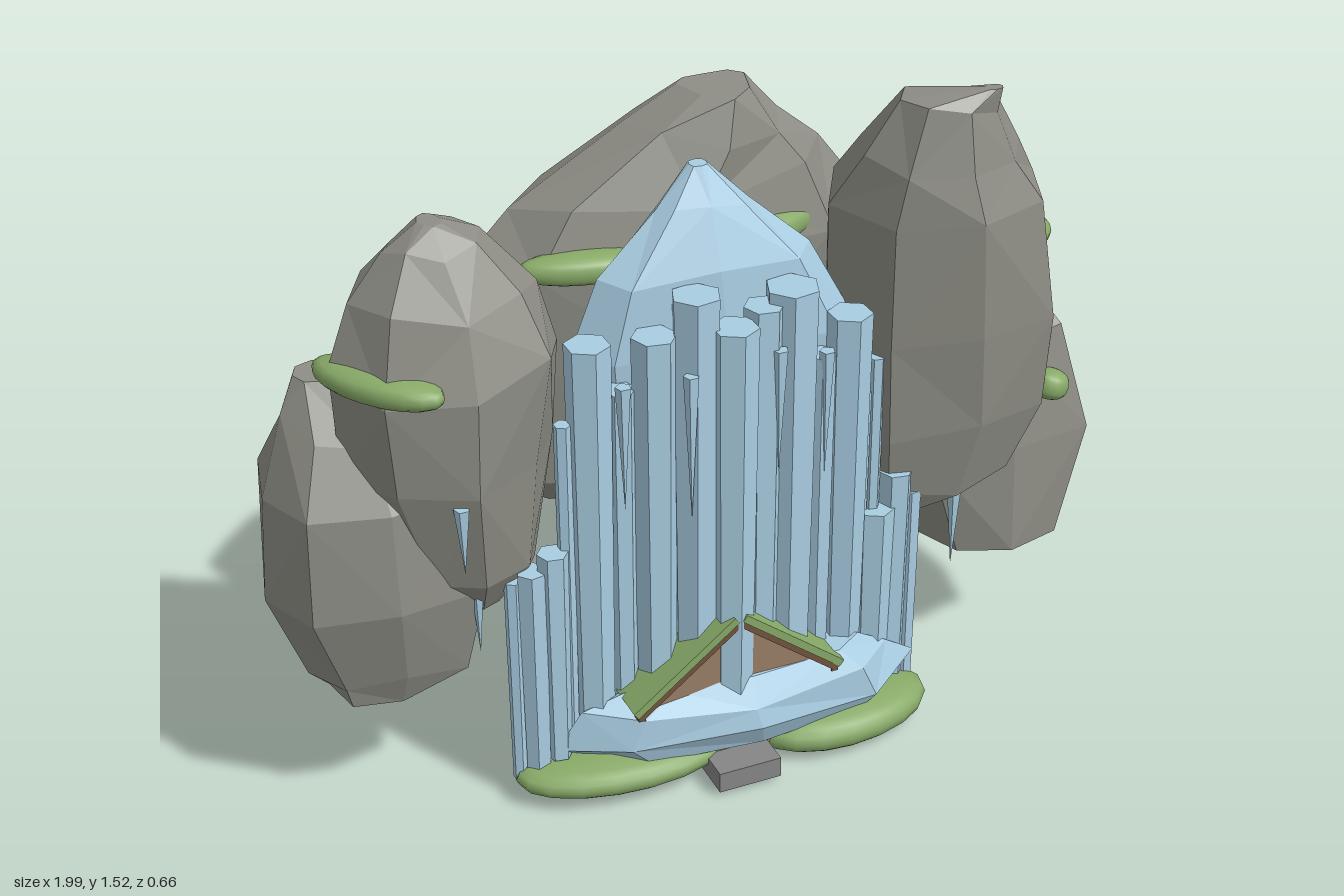
import * as THREE from 'three';

const mat = (name, color) => {
  const m = new THREE.MeshStandardMaterial({ color });
  m.name = name;
  return m;
};

export function createModel() {
  const group = new THREE.Group();
  const rock = mat('rock grey', 0x8e8e86), ice = mat('pale ice blue', 0xa9cde2);
  const moss = mat('moss green', 0x88aa68), wood = mat('wall wood', 0x997e65);
  const dark = mat('dark timber', 0x70543e), stone = mat('base stone', 0x868686);

  let seed = 7;
  const rand = () => (seed = (seed * 16807) % 2147483647) / 2147483647;

  const add = (name, geo, material, pos = [0, 0, 0], rot = [0, 0, 0], parent = group) => {
    const m = new THREE.Mesh(geo, material);
    m.name = name;
    m.position.set(...pos);
    m.rotation.set(...rot);
    parent.add(m);
    return m;
  };
  const faceted = (g) => {
    const f = g.index ? g.toNonIndexed() : g;
    f.computeVertexNormals();
    return f;
  };
  // Box given by its limits on each axis
  const box = (name, material, x0, x1, y0, y1, z0, z1, parent) =>
    add(name, new THREE.BoxGeometry(x1 - x0, y1 - y0, z1 - z0), material,
      [(x0 + x1) / 2, (y0 + y1) / 2, (z0 + z1) / 2], [0, 0, 0], parent);

  // Faceted boulder lofted through rings of [y, xMin, xMax, zMin, zMax];
  // corner sets how square a ring is, lean moves its left and right ends in z
  const boulder = (name, material, rings, { jitter = 0.1, corner = 1.07, lean = 0 } = {}) => {
    const p = [], idx = [], n = 8;
    rings.forEach(([y, x0, x1, z0, z1], i) => {
      for (let j = 0; j < n; j++) {
        const t = (j / n) * Math.PI * 2, r = j % 2 ? corner - rand() * jitter * 2 : 1 - rand() * jitter * 0.2;
        const dy = i > 0 && i < rings.length - 1 ? (rand() - 0.5) * jitter * 0.5 : 0;
        p.push((x0 + x1) / 2 + Math.cos(t) * r * (x1 - x0) / 2, y + dy,
          (z0 + z1) / 2 + Math.sin(t) * r * (z1 - z0) / 2 + lean * Math.cos(t) ** 2);
      }
    });
    for (let i = 0; i < rings.length - 1; i++)
      for (let j = 0; j < n; j++) {
        const a = i * n + j, b = i * n + (j + 1) % n, c = a + n, d = b + n;
        if ((i + j) % 2) idx.push(a, c, b, b, c, d);
        else idx.push(a, c, d, a, d, b);
      }
    const top = (rings.length - 1) * n;
    for (let j = 1; j < n - 1; j++) idx.push(0, j, j + 1, top, top + j + 1, top + j);
    const g = new THREE.BufferGeometry();
    g.setAttribute('position', new THREE.Float32BufferAttribute(p, 3));
    g.setIndex(idx);
    return add(name, faceted(g), material);
  };

  // Cliff boulders
  boulder('leftTallBoulder', rock, [
    [0.5, 0.38, 0.52, 0.06, 0.14], [0.56, 0.32, 0.77, -0.06, 0.19], [0.72, 0.29, 0.86, -0.16, 0.23],
    [0.97, 0.28, 0.83, -0.2, 0.25], [1.25, 0.28, 0.79, -0.22, 0.26], [1.36, 0.33, 0.71, -0.06, 0.23],
    [1.48, 0.4, 0.64, 0.01, 0.2], [1.52, 0.57, 0.61, 0.15, 0.18]]);
  boulder('leftOuterBoulder', rock, [
    [0.3, 0.58, 0.92, -0.25, 0.11], [0.55, 0.49, 1.0, -0.28, 0.1], [0.82, 0.53, 0.92, -0.3, 0.07],
    [0.94, 0.58, 0.86, -0.3, -0.03], [1.01, 0.66, 0.78, -0.24, -0.14]], { corner: 1.18 });
  boulder('backBoulder', rock, [
    [0.54, -0.36, 0.1, -0.28, -0.14], [0.61, -0.44, 0.38, -0.31, -0.08], [0.9, -0.52, 0.5, -0.33, -0.02],
    [1.15, -0.48, 0.48, -0.32, -0.01], [1.28, -0.36, 0.38, -0.3, -0.03], [1.4, -0.1, 0.27, -0.27, -0.05],
    [1.48, 0.03, 0.19, -0.24, -0.08]], { lean: -0.05 });
  boulder('rightTallBoulder', rock, [
    [0.5, -0.63, -0.5, 0.02, 0.12], [0.58, -0.73, -0.42, -0.08, 0.18], [0.85, -0.83, -0.36, -0.17, 0.23],
    [1.08, -0.84, -0.34, -0.18, 0.23], [1.23, -0.79, -0.38, -0.14, 0.18], [1.34, -0.71, -0.5, -0.08, 0.11],
    [1.38, -0.63, -0.58, -0.02, 0.05]]);
  boulder('rightOuterBoulder', rock, [
    [0.3, -0.88, -0.62, -0.16, 0.1], [0.36, -0.92, -0.57, -0.2, 0.13], [0.55, -1.0, -0.52, -0.25, 0.17],
    [0.8, -0.98, -0.54, -0.26, 0.15], [0.94, -0.92, -0.62, -0.22, 0.07], [1.03, -0.88, -0.77, -0.15, -0.05]],
    { corner: 1.18 });

  // Frozen spring, pool and ice behind the hut
  boulder('springIce', ice, [
    [0.63, -0.22, 0.2, 0, 0.1], [0.75, -0.31, 0.29, -0.03, 0.14], [1.02, -0.34, 0.32, -0.03, 0.16],
    [1.2, -0.27, 0.22, -0.02, 0.15], [1.33, -0.13, 0.08, 0, 0.1], [1.41, -0.05, -0.01, 0.02, 0.06]],
    { jitter: 0.06, corner: 1.15 });
  boulder('poolIce', ice, [
    [0.08, -0.33, 0.38, 0.08, 0.28], [0.13, -0.44, 0.46, 0.04, 0.31], [0.2, -0.38, 0.38, 0.08, 0.3],
    [0.25, -0.28, 0.3, 0.14, 0.26]], { jitter: 0.08 });
  boulder('iceChunk', ice, [
    [0.06, -0.36, -0.25, 0, 0.1], [0.13, -0.4, -0.22, -0.04, 0.12], [0.21, -0.34, -0.27, 0.02, 0.09]]);
  boulder('iceShards', ice, [
    [0.01, -0.18, 0.1, -0.135, -0.09], [0.02, -0.16, 0.09, -0.14, -0.09], [0.05, -0.1, 0.03, -0.118, -0.1]]);

  // Frozen waterfall columns: x, z, top, bottom, radius
  const falls = [
    [-0.33, 0.16, 1.11, 0.14, 0.05], [-0.19, 0.18, 1.11, 0.14, 0.05], [-0.1, 0.19, 1.19, 0.14, 0.055],
    [-0.03, 0.23, 1.12, 0.2, 0.052], [0.05, 0.2, 1.14, 0.14, 0.045], [0.12, 0.19, 1.165, 0.14, 0.06],
    [0.27, 0.165, 1.06, 0.12, 0.05], [-0.26, 0.16, 0.99, 0.1, 0.035], [0.2, 0.17, 0.98, 0.1, 0.035],
    [-0.385, 0.15, 0.93, 0.1, 0.02], [0.345, 0.15, 0.93, 0.1, 0.02], [0.31, 0.14, 0.85, 0.1, 0.03],
    [0.35, 0.16, 0.55, 0.08, 0.045], [-0.42, 0.16, 0.63, 0.1, 0.035], [-0.465, 0.15, 0.59, 0.06, 0.035],
    [-0.505, 0.14, 0.57, 0.05, 0.02], [0.405, 0.15, 0.63, 0.08, 0.04], [0.445, 0.15, 0.57, 0.06, 0.025]];
  falls.forEach(([x, z, top, bottom, r], i) => {
    add('waterfallColumn', faceted(new THREE.CylinderGeometry(r, r * 0.85, top - bottom, 6)), ice,
      [x, (top + bottom) / 2, z], [0, i * 0.35, 0]);
  });
  // Thin hanging icicles
  [[-0.63, 0.82, 0.21, 0.16], [-0.58, 0.6, 0.13, 0.2], [0.565, 0.55, 0.14, 0.22],
    [-0.27, 1.02, 0.205, 0.3], [-0.13, 1.03, 0.235, 0.35], [0.2, 1.0, 0.2, 0.3], [0.07, 1.05, 0.24, 0.3]]
    .forEach(([x, top, z, h]) =>
      add('icicle', faceted(new THREE.ConeGeometry(0.018, h, 5)), ice, [x, top - h / 2, z], [Math.PI, 0, 0]));

  // Moss cushions with blunt rims: centre, half sizes, tilt
  const cushion = (name, pos, size, rot) => {
    const g = new THREE.SphereGeometry(1, 18, 12), p = g.attributes.position;
    for (let i = 0; i < p.count; i++) {
      const y = p.getY(i);
      p.setY(i, Math.sign(y) * Math.abs(y) ** 0.75);
    }
    g.scale(...size);
    g.computeVertexNormals();
    add(name, g, moss, pos, rot);
  };
  cushion('groundMoss', [-0.28, 0.058, 0.18], [0.245, 0.042, 0.11], [0, -0.08, 0]);
  cushion('groundMoss', [0.26, 0.05, 0.2], [0.22, 0.05, 0.12], [0, 0.1, 0]);
  cushion('ledgeMoss', [-0.24, 1.17, -0.06], [0.15, 0.035, 0.05], [0, -0.2, 0]);
  cushion('ledgeMoss', [0.18, 1.17, -0.08], [0.19, 0.04, 0.06], [0, 0.42, 0]);
  cushion('boulderMoss', [-0.755, 1.085, 0.095], [0.065, 0.036, 0.16], [0, 0.62, 0]);
  cushion('boulderMoss', [0.735, 1.09, -0.03], [0.075, 0.045, 0.125], [0, 0.8, 0]);
  cushion('boulderMoss', [0.838, 0.715, 0.078], [0.046, 0.036, 0.045], [0, 0.3, -0.3]);
  for (const x of [-0.17, 0.16])
    add('mossColumn', new THREE.CapsuleGeometry(0.036, 0.3, 4, 10), moss, [x, 0.35, 0.14]);

  // Hut with its ridge running front to back
  const hut = new THREE.Group();
  hut.name = 'hut';
  hut.position.x = -0.03;
  group.add(hut);
  box('stoneBase', stone, -0.23, 0.23, 0.015, 0.06, -0.11, 0.22, hut);
  box('frontStep', stone, -0.075, 0.075, 0.012, 0.062, 0.22, 0.33, hut);
  const gable = new THREE.Shape();
  [[-0.2, 0.05], [0.2, 0.05], [0.2, 0.24], [0, 0.395], [-0.2, 0.24]].forEach(([x, y], i) =>
    i ? gable.lineTo(x, y) : gable.moveTo(x, y));
  add('walls', new THREE.ExtrudeGeometry(gable, { depth: 0.345, bevelEnabled: false }), wood,
    [0, 0, -0.095], [0, 0, 0], hut);

  const slope = 0.66, len = 0.305;
  for (const s of [-1, 1]) {
    const slab = (name, material, thick, lift, z, depth) =>
      add(name, new THREE.BoxGeometry(len, thick, depth), material,
        [s * (0.12 + Math.sin(slope) * lift), 0.315 + Math.cos(slope) * lift, z], [0, 0, -s * slope], hut);
    slab('roofBoards', dark, 0.014, 0, 0.077, 0.39);
    slab('roofMoss', moss, 0.018, 0.016, 0.077, 0.395);
    slab('bargeboard', wood, 0.026, -0.006, -0.118, 0.012);
    // Corner posts, eave beam and side railing
    for (const z of [-0.1, 0.2])
      box('cornerPost', dark, s * 0.2 - 0.008, s * 0.2 + 0.008, 0.05, 0.24, z - 0.002, z + 0.012, hut);
    box('eaveBeam', dark, s * 0.235 - 0.008, s * 0.235 + 0.008, 0.215, 0.235, -0.118, 0.27, hut);
    add('eaveBrace', new THREE.BoxGeometry(0.012, 0.15, 0.012), dark, [s * 0.222, 0.15, -0.09], [0, 0, -s * 0.25], hut);
    for (const z of [0.01, 0.1, 0.19])
      box('railPost', dark, s * 0.225 - 0.007, s * 0.225 + 0.007, 0.02, 0.16, z - 0.007, z + 0.007, hut);
    for (const y of [0.09, 0.15])
      box('rail', dark, s * 0.225 - 0.006, s * 0.225 + 0.006, y - 0.006, y + 0.006, 0.01, 0.19, hut);
  }
  box('tieBeam', dark, -0.2, 0.2, 0.235, 0.248, -0.102, -0.094, hut);
  box('chimney', stone, -0.135, -0.075, 0.27, 0.4, -0.08, -0.02, hut);
  box('chimneyCap', stone, -0.143, -0.067, 0.4, 0.417, -0.088, -0.012, hut);
  return group;
}
